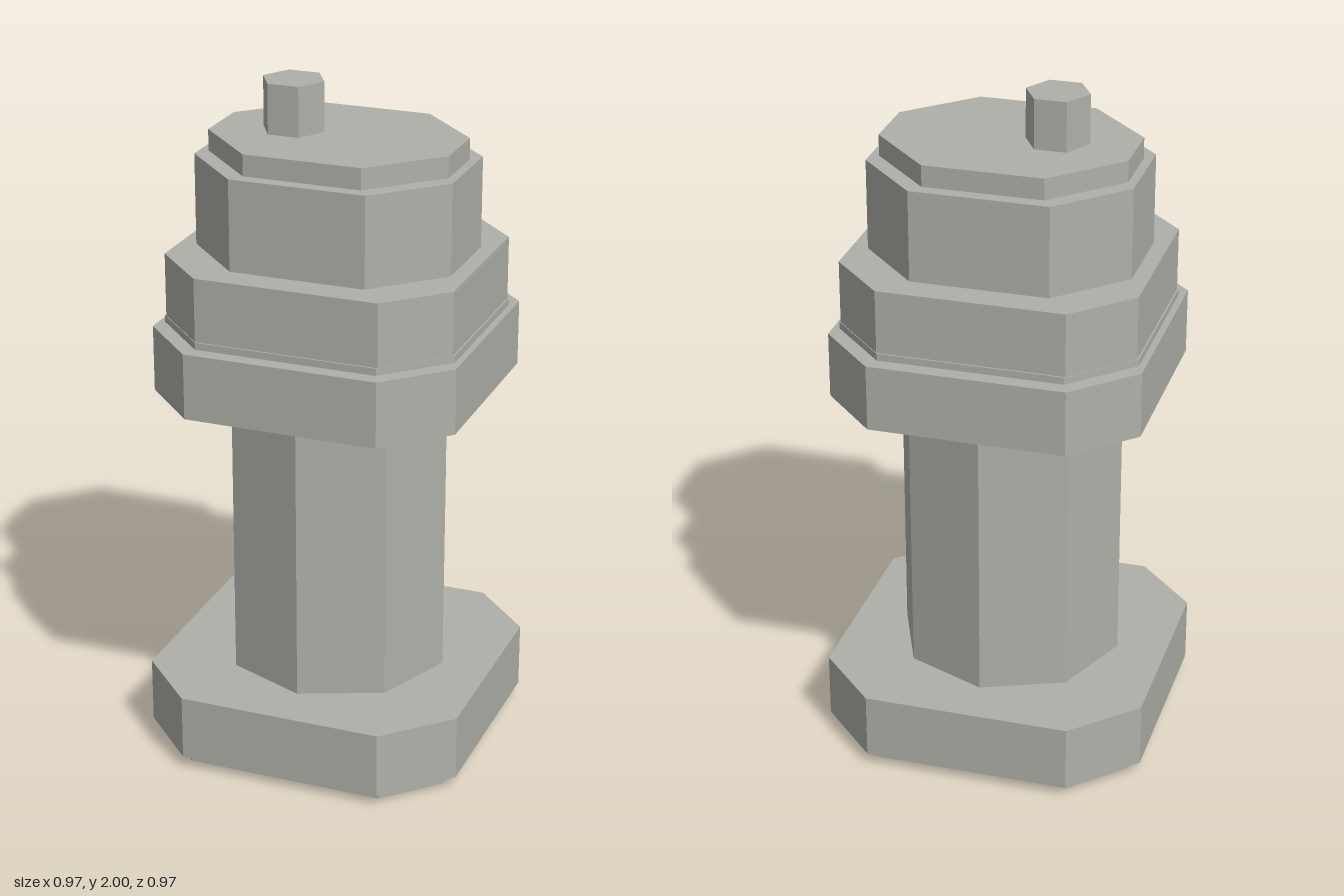
import * as THREE from 'three';

const grey = new THREE.MeshStandardMaterial({ color: 0xb0b0aa });

// Upright flat-sided prism from an outline in x/z, between two heights
function prism(name, points, y0, y1) {
  const shape = new THREE.Shape(points.map(([x, z]) => new THREE.Vector2(x, -z)));
  const geo = new THREE.ExtrudeGeometry(shape, { depth: y1 - y0, bevelEnabled: false });
  geo.rotateX(-Math.PI / 2).translate(0, y0, 0);
  const mesh = new THREE.Mesh(geo, grey);
  mesh.name = name;
  return mesh;
}

// Rectangle with cut corners: half sizes and half lengths of the uncut sides
const cutRect = (hx, hz, fx, fz) => [
  [hx, fz], [hx, -fz], [fx, -hz], [-fx, -hz],
  [-hx, -fz], [-hx, fz], [-fx, hz], [fx, hz],
];

// Regular polygon with a corner on the x axis
const polygon = (sides, r, cx = 0) => Array.from({ length: sides }, (_, i) => {
  const a = -(i / sides) * Math.PI * 2;
  return [cx + r * Math.cos(a), r * Math.sin(a)];
});

export function createModel() {
  const model = new THREE.Group();
  model.name = 'pedestal';
  model.add(
    prism('foot', cutRect(0.443, 0.443, 0.297, 0.297), 0, 0.036),
    prism('base', cutRect(0.486, 0.486, 0.306, 0.306), 0.036, 0.232),
    prism('column', polygon(8, 0.337), 0.232, 1.116),
    prism('collar', cutRect(0.458, 0.458, 0.287, 0.287), 1.116, 1.312),
    prism('lowerTierFoot', cutRect(0.439, 0.413, 0.27, 0.244), 1.312, 1.333),
    prism('lowerTier', cutRect(0.434, 0.408, 0.272, 0.246), 1.333, 1.521),
    prism('upperTier', cutRect(0.386, 0.32, 0.201, 0.133), 1.521, 1.79),
    prism('cap', cutRect(0.36, 0.28, 0.174, 0.092), 1.79, 1.853),
    prism('peg', polygon(6, 0.093, -0.135), 1.853, 2),
  );
  return model;
}
